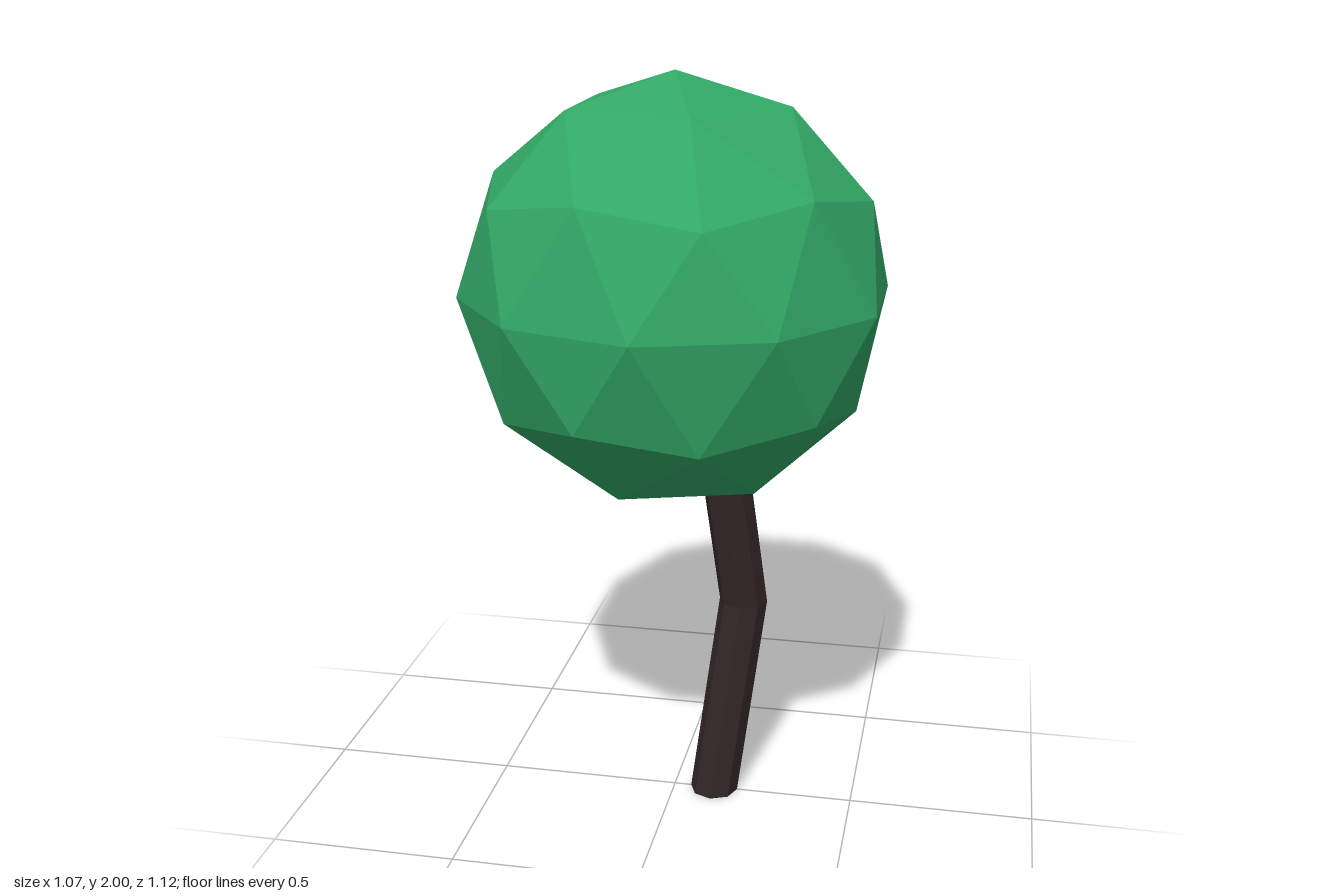
import * as THREE from 'three';

export function createModel() {
  const tree = new THREE.Group();
  tree.name = 'tree';

  const leafGreen = new THREE.MeshStandardMaterial({ color: 0x32a866, flatShading: true });
  leafGreen.name = 'leaf green';
  const barkBrown = new THREE.MeshStandardMaterial({ color: 0x332627, flatShading: true });
  barkBrown.name = 'bark brown';

  // Foliage: faceted ball, turned so one vertex points straight up
  const ball = new THREE.IcosahedronGeometry(0.561, 1);
  ball.rotateX(-Math.atan2((1 + Math.sqrt(5)) / 2, 1));
  ball.rotateY(Math.PI / 2);
  const foliage = new THREE.Mesh(ball, leafGreen);
  foliage.name = 'foliage';
  foliage.position.y = 1.439;
  tree.add(foliage);

  // Trunk: eight-sided post whose three rings are shifted to give a bend
  const rings = [[0.113, 0, 0], [0.18, 0.56, -0.065], [0.115, 1.1, -0.005]];
  const post = new THREE.CylinderGeometry(0.066, 0.066, 2, 8, 2);
  const pos = post.attributes.position;
  for (let i = 0; i < pos.count; i++) {
    const [x, y, z] = rings[Math.round(pos.getY(i) + 1)];
    pos.setXYZ(i, pos.getX(i) + x, y, pos.getZ(i) + z);
  }
  post.computeVertexNormals();
  const trunk = new THREE.Mesh(post, barkBrown);
  trunk.name = 'trunk';
  tree.add(trunk);

  return tree;
}
